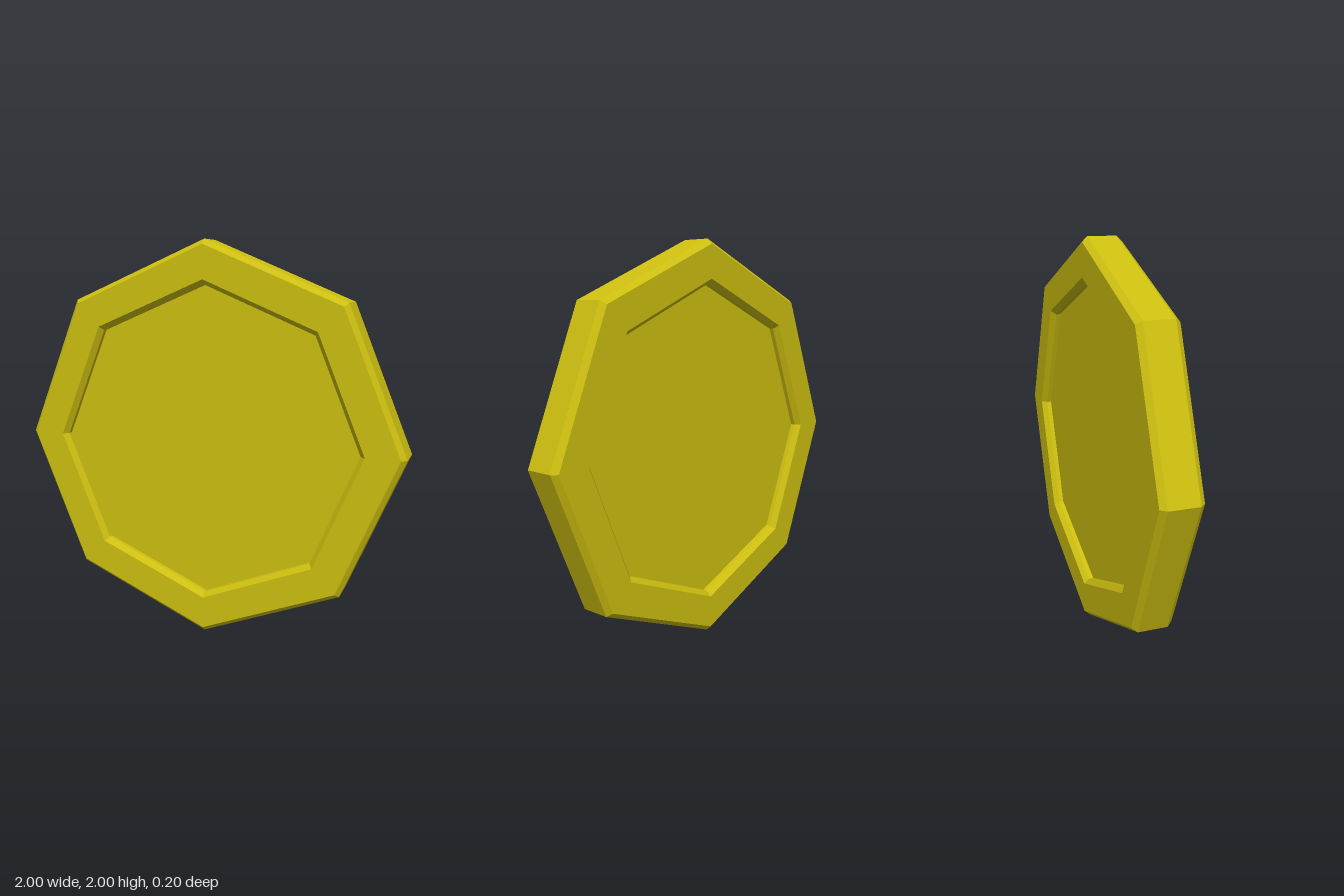
import * as THREE from 'three';

const SIDES = 8;

export function createModel() {
  const model = new THREE.Group();
  model.name = 'coin';

  // Half profile from the floor of the recess out to the rim: [radius, height]
  const half = [
    [0, 0.05],      // recess centre
    [0.785, 0.05],  // recess wall foot
    [0.785, 0.073], // inner bevel
    [0.81, 0.1],
    [0.975, 0.1],   // raised rim
    [1, 0.073],     // outer bevel
  ];
  const back = half.map(([r, h]) => new THREE.Vector2(r, -h));
  const front = half.map(([r, h]) => new THREE.Vector2(r, h)).reverse();

  // Eight-sided disc, turned to stand upright and face +z
  const geometry = new THREE.LatheGeometry([...back, ...front], SIDES);
  geometry.rotateX(Math.PI / 2);

  const gold = new THREE.MeshStandardMaterial({ color: 0xccbe10, flatShading: true });
  const disc = new THREE.Mesh(geometry, gold);
  disc.name = 'coinDisc';
  disc.position.y = 1;
  model.add(disc);

  return model;
}
